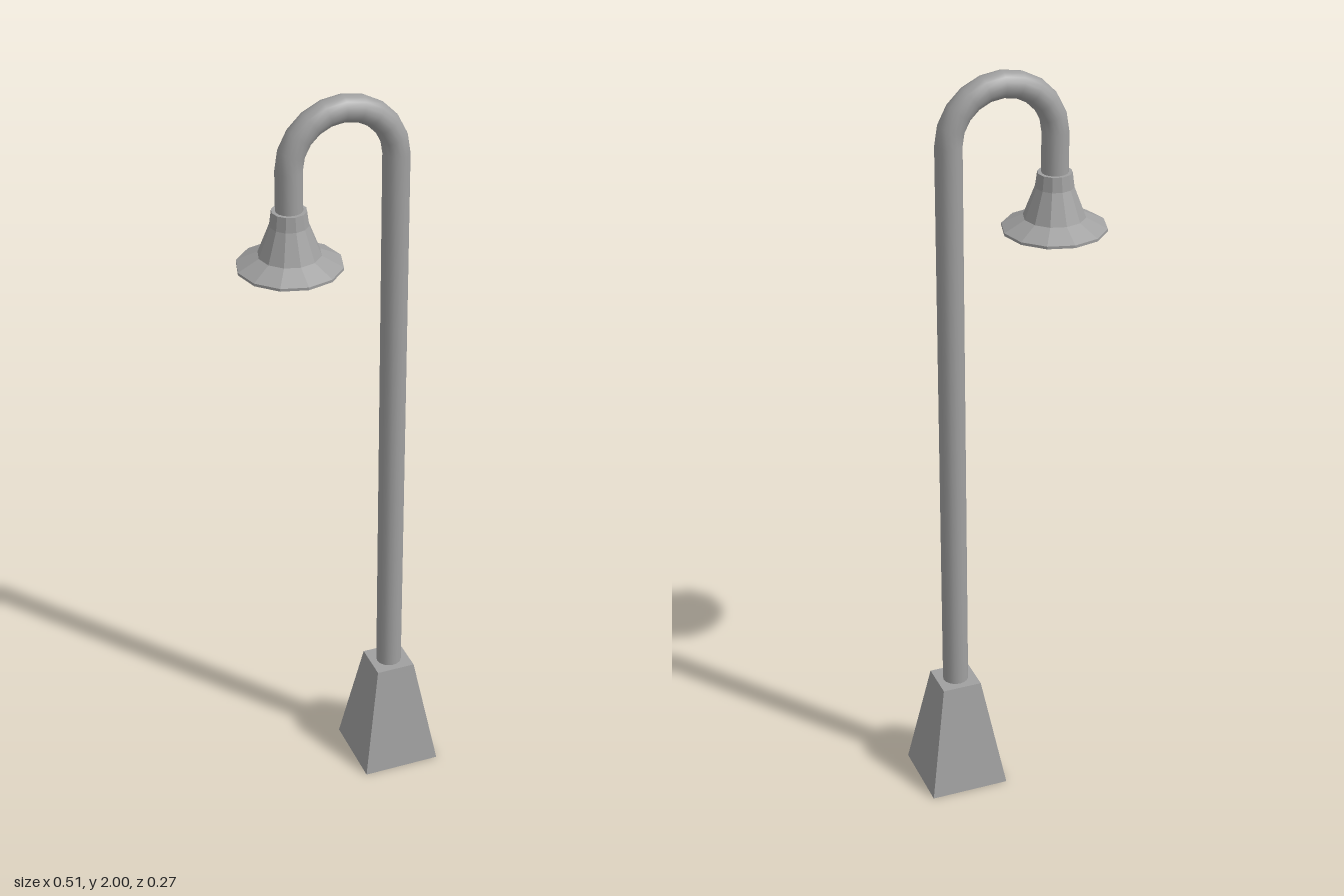
import * as THREE from 'three';

export function createModel() {
  const model = new THREE.Group();
  model.name = 'streetLamp';
  const grey = new THREE.MeshStandardMaterial({ color: 0xa0a0a0, side: THREE.DoubleSide });
  grey.name = 'greyMetal';

  const add = (name, geometry, x, y) => {
    const mesh = new THREE.Mesh(geometry, grey);
    mesh.name = name;
    mesh.position.set(x, y, 0);
    model.add(mesh);
    return mesh;
  };
  // Unshared corners give crisp facets
  const faceted = (geometry) => {
    const flat = geometry.toNonIndexed();
    flat.computeVertexNormals();
    return flat;
  };

  const poleX = 0.15, lampX = -0.126;
  const tubeR = 0.034, archR = (poleX - lampX) / 2;
  const archY = 2 - tubeR - archR;

  // Tapered square foot, hollow underneath
  const baseH = 0.305, topHalf = 0.053, bottomHalf = 0.106;
  const foot = new THREE.CylinderGeometry(topHalf * Math.SQRT2, bottomHalf * Math.SQRT2, baseH, 4, 1, true);
  foot.rotateY(Math.PI / 4);
  add('base', faceted(foot), poleX, baseH / 2);
  const lid = new THREE.PlaneGeometry(topHalf * 2, topHalf * 2);
  lid.rotateX(-Math.PI / 2);
  add('baseTop', lid, poleX, baseH);

  // Pole, arch and the short drop into the lamp
  const drop = 1.71;
  add('pole', new THREE.CylinderGeometry(tubeR, tubeR, archY - baseH, 16, 1, true), poleX, (archY + baseH) / 2);
  add('arch', new THREE.TorusGeometry(archR, tubeR, 16, 10, Math.PI), (poleX + lampX) / 2, archY);
  add('drop', new THREE.CylinderGeometry(tubeR, tubeR, archY - drop, 16, 1, true), lampX, (archY + drop) / 2);

  // Twelve-sided shade: rim, wide brim, flared neck, collar
  const profile = [
    [0.133, 1.575], [0.133, 1.582], [0.079, 1.609],
    [0.049, 1.687], [0.044, 1.725], [0.03, 1.725],
  ].map(([r, y]) => new THREE.Vector2(r, y));
  add('shade', faceted(new THREE.LatheGeometry(profile, 12)), lampX, 0);

  // Bulb
  add('bulb', new THREE.SphereGeometry(0.045, 16, 10), lampX, 1.595);

  return model;
}
